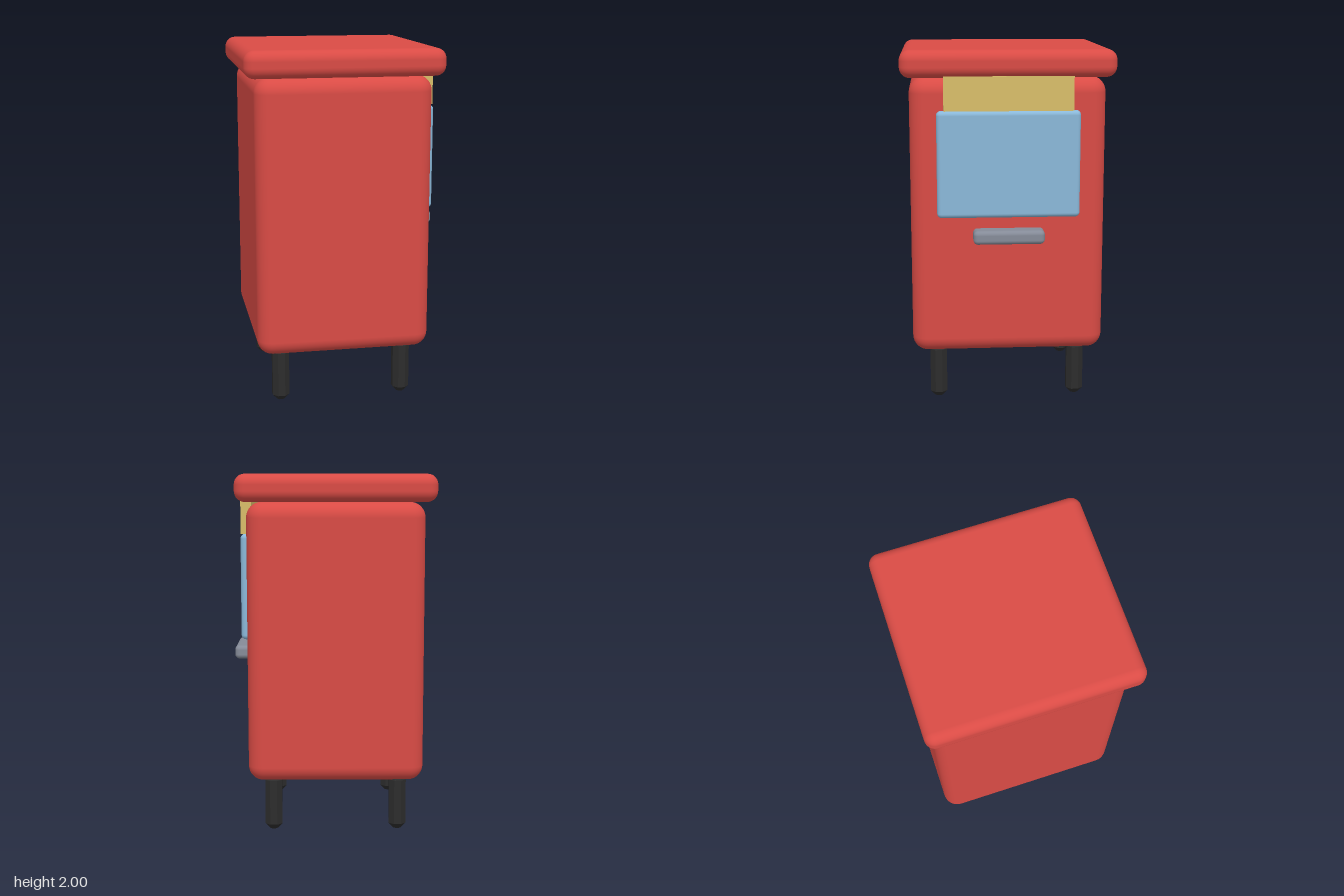
import * as THREE from 'three';
import { RoundedBoxGeometry } from 'three/addons/geometries/RoundedBoxGeometry.js';

const paint = (name, color) => {
  const m = new THREE.MeshStandardMaterial({ color });
  m.name = name;
  return m;
};

export function createModel() {
  const group = new THREE.Group();
  const red = paint('red', 0xd94b45);
  const blue = paint('light blue', 0x8ab8d9);
  const yellow = paint('mustard', 0xd8bd69);
  const grey = paint('grey', 0x858b98);
  const black = paint('black', 0x2c2c2c);

  const add = (name, geometry, material, x, y, z) => {
    const mesh = new THREE.Mesh(geometry, material);
    mesh.name = name;
    mesh.position.set(x, y, z);
    group.add(mesh);
  };

  // Box centred on z = 0, given by its x and y limits, depth and edge radius
  const box = (name, material, x0, x1, y0, y1, depth, radius) => {
    const w = x1 - x0, h = y1 - y0;
    const geometry = radius
      ? new RoundedBoxGeometry(w, h, depth, 5, radius)
      : new THREE.BoxGeometry(w, h, depth);
    add(name, geometry, material, (x0 + x1) / 2, (y0 + y1) / 2, 0);
  };

  // Cabinet and overhanging lid
  box('body', red, -0.505, 0.472, 0.3, 1.85, 1.076, 0.085);
  box('lid', red, -0.564, 0.531, 1.85, 2, 1.172, 0.058);

  // Fittings on the right-hand face
  box('window', blue, 0.43, 0.51, 1.085, 1.673, 0.784, 0.025);
  box('signPlate', yellow, 0.45, 0.51, 1.673, 1.86, 0.704, 0);
  box('handle', grey, 0.45, 0.562, 0.945, 1.022, 0.392, 0.025);

  // Octagonal legs with bevelled ends
  const R = 0.0515;
  const profile = [[0, 0], [0.024, 0], [R, 0.03], [R, 0.285], [0.024, 0.315], [0, 0.315]]
    .map(([r, y]) => new THREE.Vector2(r, y));
  const legGeometry = new THREE.LatheGeometry(profile, 8).rotateY(Math.PI / 8).toNonIndexed();
  legGeometry.computeVertexNormals();
  for (const x of [-0.368, 0.335])
    for (const z of [-0.394, 0.394]) add('leg', legGeometry, black, x, 0, z);

  return group;
}
